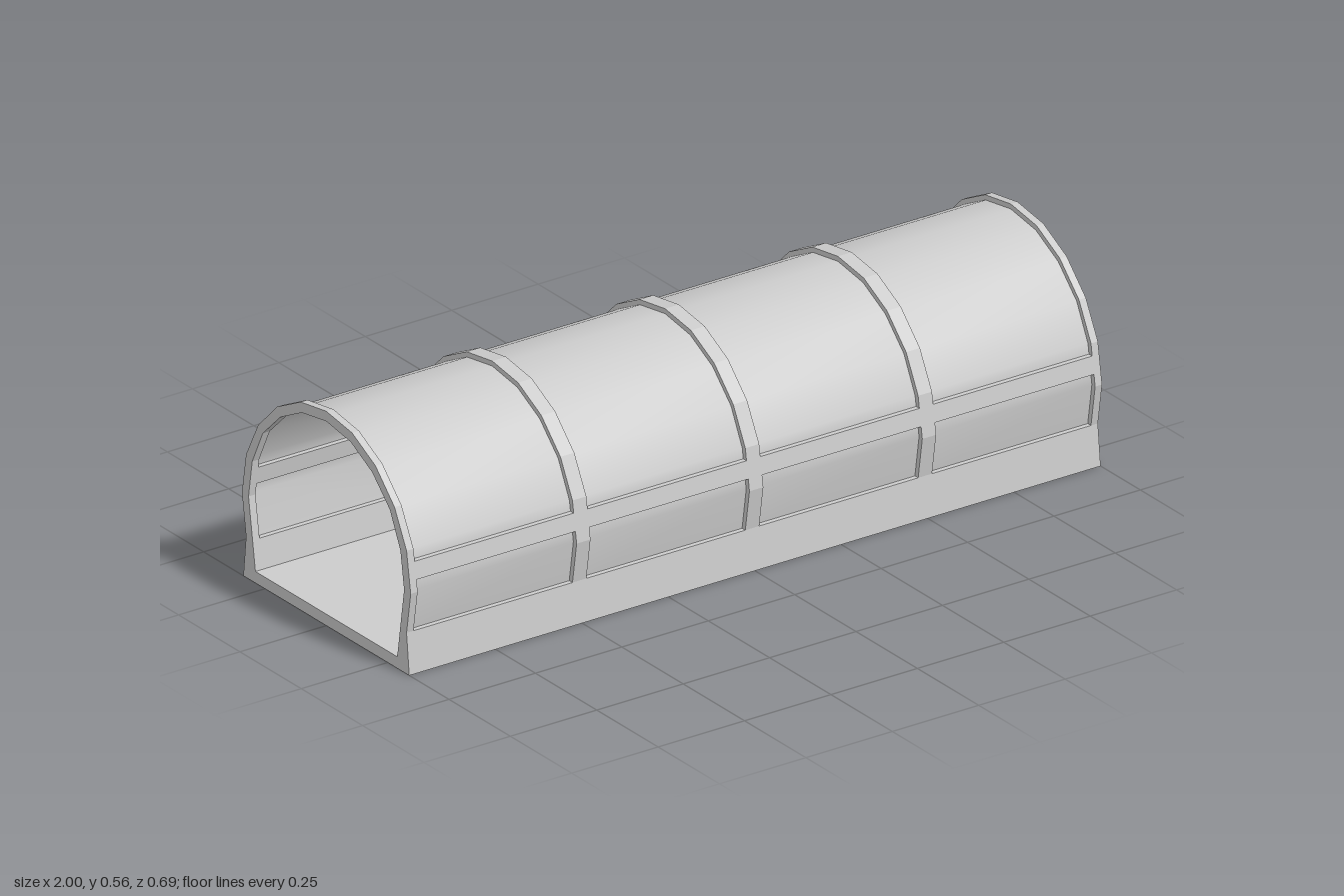
import * as THREE from 'three';

// Half cross-section as [z, y], from the springing of the wall to the crown
const OUTER = [[0.327, 0.107], [0.344, 0.215], [0.327, 0.321], [0.278, 0.416], [0.2, 0.494], [0.105, 0.543], [0, 0.559]];
const INNER = [[0.3005, 0.107], [0.317, 0.215], [0.302, 0.312], [0.259, 0.402], [0.187, 0.472], [0.1, 0.517], [0, 0.533]];
const RIBS = [[-1, -0.98], [-0.52, -0.48], [-0.02, 0.02], [0.48, 0.52], [0.98, 1]];
const RAIL = [0.245, 0.29];

const mirror = (points) => points.map(([z, y]) => [-z, y]).reverse();
const arch = (half) => [...half, ...mirror(half).slice(1)];

// Point on a half profile at height y, between its corners 1 and 2
function at(half, y) {
  const [[z0, y0], [z1, y1]] = [half[1], half[2]];
  return [z0 + (z1 - z0) * (y - y0) / (y1 - y0), y];
}

export function createModel() {
  const group = new THREE.Group();
  const solid = new THREE.MeshStandardMaterial({ color: 0xcccccc });
  const sheet = new THREE.MeshStandardMaterial({ color: 0xcccccc, side: THREE.DoubleSide });

  const add = (name, geometry, material) => {
    const mesh = new THREE.Mesh(geometry, material);
    mesh.name = name;
    group.add(mesh);
  };

  // Solid section [z, y] running along x
  const extrude = (name, section, x0, x1) => {
    const shape = new THREE.Shape(section.map(([z, y]) => new THREE.Vector2(-z, y)));
    const geometry = new THREE.ExtrudeGeometry(shape, { depth: x1 - x0, bevelEnabled: false });
    add(name, geometry.rotateY(Math.PI / 2).translate(x0, 0, 0), solid);
  };

  // Thin smooth sheet following a profile [z, y] along x
  const panel = (name, profile, x0, x1) => {
    const positions = [], index = [];
    profile.forEach(([z, y], i) => {
      positions.push(x0, y, z, x1, y, z);
      const a = 2 * i;
      if (i < profile.length - 1) index.push(a, a + 1, a + 3, a, a + 3, a + 2);
    });
    const geometry = new THREE.BufferGeometry();
    geometry.setAttribute('position', new THREE.Float32BufferAttribute(positions, 3));
    geometry.setIndex(index);
    geometry.computeVertexNormals();
    add(name, geometry, sheet);
  };

  // Floor and low side walls in one trough
  const wall = [[0.338, 0], OUTER[0], INNER[0], [0.289, 0.03]];
  extrude('baseTrough', [...wall, ...mirror(wall)], -1, 1);

  // Arched ribs
  for (const [x0, x1] of RIBS) {
    extrude('archRib', [...arch(OUTER), ...arch(INNER).reverse()], x0, x1);
  }

  // Panels sit halfway through the frame thickness
  const middle = OUTER.map(([z, y], i) => [(z + INNER[i][0]) / 2, (y + INNER[i][1]) / 2]);
  const roof = arch([at(middle, RAIL[1]), ...middle.slice(2)]);
  const side = [middle[0], middle[1], at(middle, RAIL[0])];
  const rail = [at(OUTER, RAIL[0]), at(OUTER, RAIL[1]), at(INNER, RAIL[1]), at(INNER, RAIL[0])];

  // Bays between the ribs
  for (let i = 0; i < RIBS.length - 1; i++) {
    const x0 = RIBS[i][1], x1 = RIBS[i + 1][0];
    panel('roofPanel', roof, x0, x1);
    panel('frontSidePanel', side, x0, x1);
    panel('backSidePanel', mirror(side), x0, x1);
    extrude('frontRail', rail, x0, x1);
    extrude('backRail', mirror(rail), x0, x1);
  }
  return group;
}
